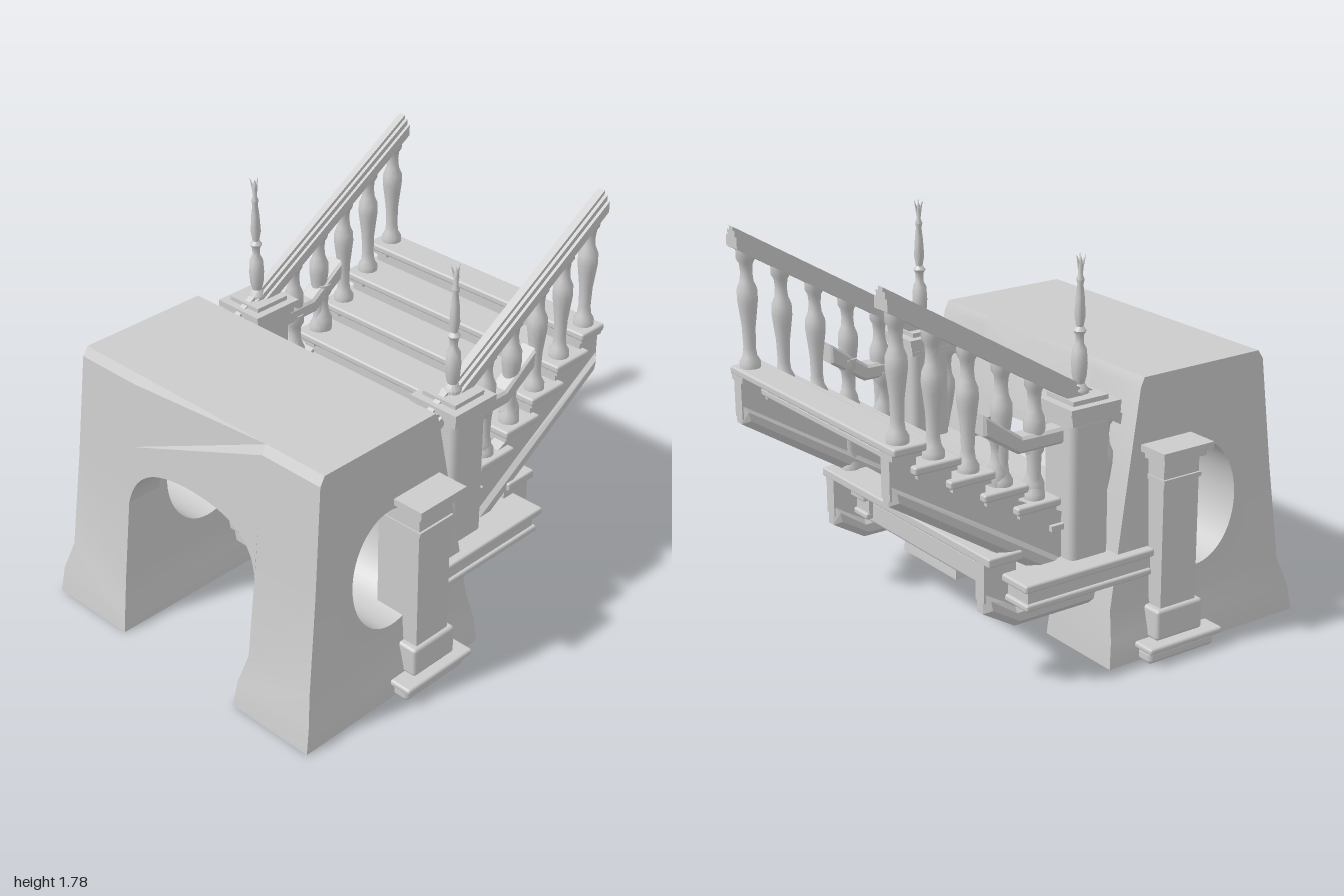
import * as THREE from 'three';
import { toCreasedNormals, mergeGeometries } from 'three/addons/utils/BufferGeometryUtils.js';
import { RoundedBoxGeometry } from 'three/addons/geometries/RoundedBoxGeometry.js';

const mat = new THREE.MeshStandardMaterial({ color: 0xcccccc, side: THREE.DoubleSide });

// linear lookup in a list of [key, value]
function lookup(table, k) {
  for (let i = 1; i < table.length; i++) {
    const [a, va] = table[i - 1], [b, vb] = table[i];
    if (k <= b) return va + (vb - va) * Math.max(0, (k - a) / (b - a));
  }
  return table[table.length - 1][1];
}

function add(parent, geo, name, x = 0, y = 0, z = 0) {
  const m = new THREE.Mesh(geo, mat);
  m.name = name;
  m.position.set(x, y, z);
  parent.add(m);
  return m;
}

// box given by its limits
function box(parent, name, x0, x1, y0, y1, z0, z1, r = 0) {
  const s = [x1 - x0, y1 - y0, z1 - z0];
  const g = r ? new RoundedBoxGeometry(...s, 2, r) : new THREE.BoxGeometry(...s);
  return add(parent, g, name, (x0 + x1) / 2, (y0 + y1) / 2, (z0 + z1) / 2);
}

const shapeOf = pts => new THREE.Shape(pts.map(p => new THREE.Vector2(...p)));

// side-view polygon (x, y) extruded from z0 to z1
function plate(parent, name, pts, z0, z1, bevel = 0) {
  const g = new THREE.ExtrudeGeometry(shapeOf(pts), {
    depth: z1 - z0 - 2 * bevel, bevelEnabled: bevel > 0, bevelSize: bevel,
    bevelThickness: bevel, bevelOffset: -bevel, bevelSegments: 1 });
  return add(parent, g, name, 0, 0, z0 + bevel);
}

function lathe(profile, seg = 14) {
  return toCreasedNormals(new THREE.LatheGeometry(profile.map(p => new THREE.Vector2(...p)), seg), 0.7);
}

// outlines of the battered masonry, by height
const LEFT = [[0, -1], [0.12, -0.98], [0.25, -0.94], [0.7, -0.885], [1.19, -0.835], [1.23, -0.81]];
const RIGHT = [[0, 0.04], [0.12, 0.03], [0.25, 0.01], [0.7, -0.07], [1.19, -0.16], [1.23, -0.18]];
const OUTER = [[0, 0.79], [0.12, 0.782], [0.25, 0.748], [1.23, 0.71]];
const INNER = [[0, 0.35], [0.12, 0.36], [0.25, 0.39], [1.23, 0.39]];

// part of a leg between two heights, open at its bed joints
function legCourse(y0, y1, hole) {
  const rows = t => t.filter(([y]) => y >= y0 && y <= y1).map(([y, x]) => [x, y]);
  const s = shapeOf([...rows(LEFT), ...rows(RIGHT).reverse()]);
  if (hole) s.holes.push(hole);
  const g = new THREE.ExtrudeGeometry(s, { depth: 1, bevelEnabled: false, curveSegments: 28 });
  const p = g.attributes.position, kept = [];
  for (let i = 0; i < p.count; i += 3) {
    const ys = [p.getY(i), p.getY(i + 1), p.getY(i + 2)];
    if (Math.max(...ys) < 0.26 && Math.max(...ys) - Math.min(...ys) < 1e-6) continue;
    for (let j = i; j < i + 3; j++) {
      const y = p.getY(j), t = p.getZ(j);
      kept.push(p.getX(j), y, lookup(INNER, y) * (1 - t) + lookup(OUTER, y) * t);
    }
  }
  return new THREE.BufferGeometry().setAttribute('position', new THREE.Float32BufferAttribute(kept, 3));
}

// one leg with the oval window, flared towards the foot
function legGeometry() {
  const hole = new THREE.Path();
  hole.absellipse(-0.455, 0.62, 0.225, 0.28, 0, Math.PI * 2);
  const g = mergeGeometries([legCourse(0, 0.12), legCourse(0.12, 0.25), legCourse(0.25, 1.23, hole)]);
  g.computeVertexNormals();
  return toCreasedNormals(g, 0.45);
}

// shape in (z, y) extruded along x between two fractions of the masonry width
function spanGeometry(shape, f0, f1) {
  const g = new THREE.ExtrudeGeometry(shape, { depth: 1, bevelEnabled: false, curveSegments: 16 });
  const p = g.attributes.position;
  for (let i = 0; i < p.count; i++) {
    const z = p.getX(i), y = p.getY(i), f = f0 + (f1 - f0) * p.getZ(i);
    const a = lookup(LEFT, y), b = lookup(RIGHT, y);
    p.setXYZ(i, a + (b - a) * f, y, -z);
  }
  g.computeVertexNormals();
  return toCreasedNormals(g, 0.45);
}

function buildGate() {
  const g = new THREE.Group();
  g.name = 'stoneGateway';
  for (const side of [1, -1]) add(g, legGeometry(), 'gatewayLeg').scale.z = side;
  // block over the passage
  const top = shapeOf([[-0.39, 0.89], [0.39, 0.89], [0.39, 1.19], [0.39, 1.23], [-0.39, 1.23], [-0.39, 1.19]]);
  add(g, spanGeometry(top, 0, 1), 'gatewayTop');
  // arch faces at both ends of the passage
  const arch = new THREE.Shape();
  arch.moveTo(-0.39, 0.62);
  arch.bezierCurveTo(-0.36, 0.8, -0.2, 0.85, 0, 0.85);
  arch.bezierCurveTo(0.2, 0.85, 0.36, 0.8, 0.39, 0.62);
  arch.lineTo(0.39, 0.9);
  arch.lineTo(-0.39, 0.9);
  add(g, spanGeometry(arch, 0, 0.2), 'outerArch');
  add(g, spanGeometry(arch, 0.82, 1), 'innerArch');
  return g;
}

const BALUSTER = [[0, 0], [0.046, 0], [0.046, 0.025], [0.032, 0.05], [0.027, 0.09], [0.03, 0.18], [0.04, 0.26], [0.045, 0.3],
  [0.044, 0.345], [0.03, 0.38], [0.026, 0.42], [0.03, 0.46], [0.042, 0.48], [0.042, 0.525], [0, 0.525]];
const FINIAL = [[0, 0], [0.04, 0], [0.04, 0.02], [0.022, 0.045], [0.03, 0.075], [0.034, 0.13], [0.03, 0.19], [0.017, 0.215],
  [0.018, 0.25], [0.028, 0.268], [0.015, 0.285], [0.023, 0.33], [0.018, 0.41], [0.012, 0.46], [0.017, 0.48], [0.009, 0.5], [0.013, 0.54], [0, 0.58]];

// everything that is repeated on both sides, built for +z
function buildSide() {
  const g = new THREE.Group();
  g.name = 'stairSide';
  // low pier against the gateway
  box(g, 'pierFoot', -0.48, -0.12, 0, 0.06, 0.6, 0.86, 0.02);
  box(g, 'pierFootPlate', -0.5, -0.1, 0.06, 0.09, 0.6, 0.89, 0.012);
  box(g, 'pierPlinth', -0.42, -0.17, 0.09, 0.23, 0.6, 0.845, 0.015);
  box(g, 'pierShaft', -0.39, -0.2, 0.22, 0.9, 0.6, 0.825);
  box(g, 'pierBand', -0.395, -0.195, 0.79, 0.81, 0.6, 0.835);
  box(g, 'pierNeck', -0.41, -0.18, 0.885, 0.915, 0.6, 0.85);
  box(g, 'pierCap', -0.43, -0.16, 0.915, 0.945, 0.6, 0.87);

  // moulded ledge carrying the newel
  box(g, 'ledgeTop', -0.2, 0.47, 0.455, 0.49, 0.45, 0.78, 0.01);
  box(g, 'ledgeMiddle', -0.2, 0.44, 0.39, 0.46, 0.45, 0.75);
  box(g, 'ledgeBottom', -0.2, 0.455, 0.365, 0.395, 0.45, 0.765, 0.01);

  // newel with cap and finial
  const nx = 0.07, nz = 0.585;
  box(g, 'newelShaft', nx - 0.1, nx + 0.1, 0.46, 1.1, nz - 0.1, nz + 0.1, 0.03);
  for (const [y, r, h] of [[1.075, 0.1, 0.02], [1.1, 0.112, 0.035], [1.13, 0.127, 0.03], [1.155, 0.09, 0.025]])
    box(g, 'newelCap', nx - r, nx + r, y, y + h, nz - r, nz + r);
  add(g, lathe(FINIAL), 'finial', 0.062, 1.175, nz);
  for (let i = 0; i < 3; i++) {
    const a = i * 2.1;
    const prong = add(g, new THREE.ConeGeometry(0.008, 0.06, 5), 'finialProng', 0.062 + 0.014 * Math.cos(a), 1.735, nz + 0.014 * Math.sin(a));
    prong.rotation.set(0.3 * Math.sin(a), 0, -0.3 * Math.cos(a));
  }

  // handrail of the upper flight, stepped towards its crown: bottom, top, half width
  for (const [y0, y1, w] of [[1.685, 1.735, 0.046], [1.73, 1.76, 0.032], [1.755, 1.777, 0.016]])
    plate(g, 'handrail', [[-0.15, y0 - 0.685], [1, y0], [1, y1], [-0.15, y1 - 0.685]], 0.58 - w, 0.58 + w);

  // upper stringer
  plate(g, 'upperStringer', [[0.16, 0.4], [0.2, 0.4], [1, 0.905], [1, 1.0], [0.16, 0.49]], 0.535, 0.635, 0.03);
  plate(g, 'stringerWeb', [[-0.13, 0.45], [0.25, 0.45], [1, 0.93], [1, 1.06], [-0.13, 0.56]], 0.555, 0.615);

  // tread brackets and balusters
  for (let i = -1; i < 5; i++) {
    const x = 0.195 + 0.163 * i, y = 0.77 + 0.095 * i;
    box(g, 'treadBracket', x + 0.03, Math.min(1, x + 0.19), y - 0.15, y - 0.03, 0.555, 0.615);
    box(g, 'treadMoulding', x + 0.015, Math.min(1, x + 0.2), y - 0.055, y - 0.03, 0.54, 0.635);
    if (i >= 0) add(g, lathe(BALUSTER), 'baluster', x + 0.09, y, 0.58);
  }
  add(g, lathe(BALUSTER), 'baluster', -0.07, 0.55, 0.58);

  // lower flight: stringer, rail and balusters
  plate(g, 'lowerStringer', [[-0.15, 0.235], [0.4, 0.235], [0.56, 0.33], [0.56, 0.43], [0.4, 0.335], [-0.15, 0.335]], 0.535, 0.635, 0.03);
  plate(g, 'lowerWeb', [[-0.15, 0.3], [0.4, 0.3], [0.56, 0.38], [0.56, 0.55], [0.4, 0.55], [0.4, 0.46], [-0.15, 0.46]], 0.555, 0.615);
  plate(g, 'lowerRail', [[0.1, 0.99], [0.39, 0.99], [0.56, 1.1], [0.56, 1.19], [0.37, 1.06], [0.1, 1.06]], 0.535, 0.625, 0.012);
  for (const [x, y] of [[0.28, 0.49], [0.46, 0.58]]) add(g, lathe(BALUSTER), 'lowerBaluster', x, y, 0.57);
  return g;
}

export function createModel() {
  const model = new THREE.Group();
  model.name = 'gatewayStair';
  model.add(buildGate());
  const near = buildSide(), far = buildSide();
  far.scale.z = -1;
  model.add(near, far);

  // upper flight: treads with risers
  for (let i = -1; i < 5; i++) {
    const x = 0.195 + 0.163 * i, y = 0.77 + 0.095 * i;
    const x0 = i < 0 ? -0.12 : x, w = i < 0 ? 0.56 : 0.65;
    box(model, 'tread', x0, Math.min(1, x + 0.22), y - 0.035, y, -w, w, 0.01);
    box(model, 'riser', x + 0.03, x + 0.05, y - 0.125, y - 0.02, -0.56, 0.56);
  }

  // landing and lower flight
  box(model, 'landing', -0.17, 0.42, 0.445, 0.49, -0.6, 0.6);
  box(model, 'landingRiser', -0.12, -0.09, 0.34, 0.46, -0.56, 0.56);
  box(model, 'lowerTread', 0.39, 0.56, 0.545, 0.585, -0.65, 0.65, 0.008);
  box(model, 'lowerRiser', 0.41, 0.43, 0.46, 0.56, -0.56, 0.56);
  box(model, 'landingBeam', 0.36, 0.42, 0.34, 0.45, -0.56, 0.56, 0.015);

  // first steps inside the passage
  box(model, 'passageStep', -0.33, 0, 0.2, 0.25, -0.4, 0.4, 0.01);
  box(model, 'passageRiser', -0.31, -0.28, 0.13, 0.21, -0.4, 0.4, 0.01);
  box(model, 'passageRiser', -0.07, -0.04, 0.13, 0.21, -0.4, 0.4, 0.01);
  box(model, 'passageStep', -0.2, 0.06, 0.295, 0.345, -0.4, 0.4, 0.01);
  return model;
}
